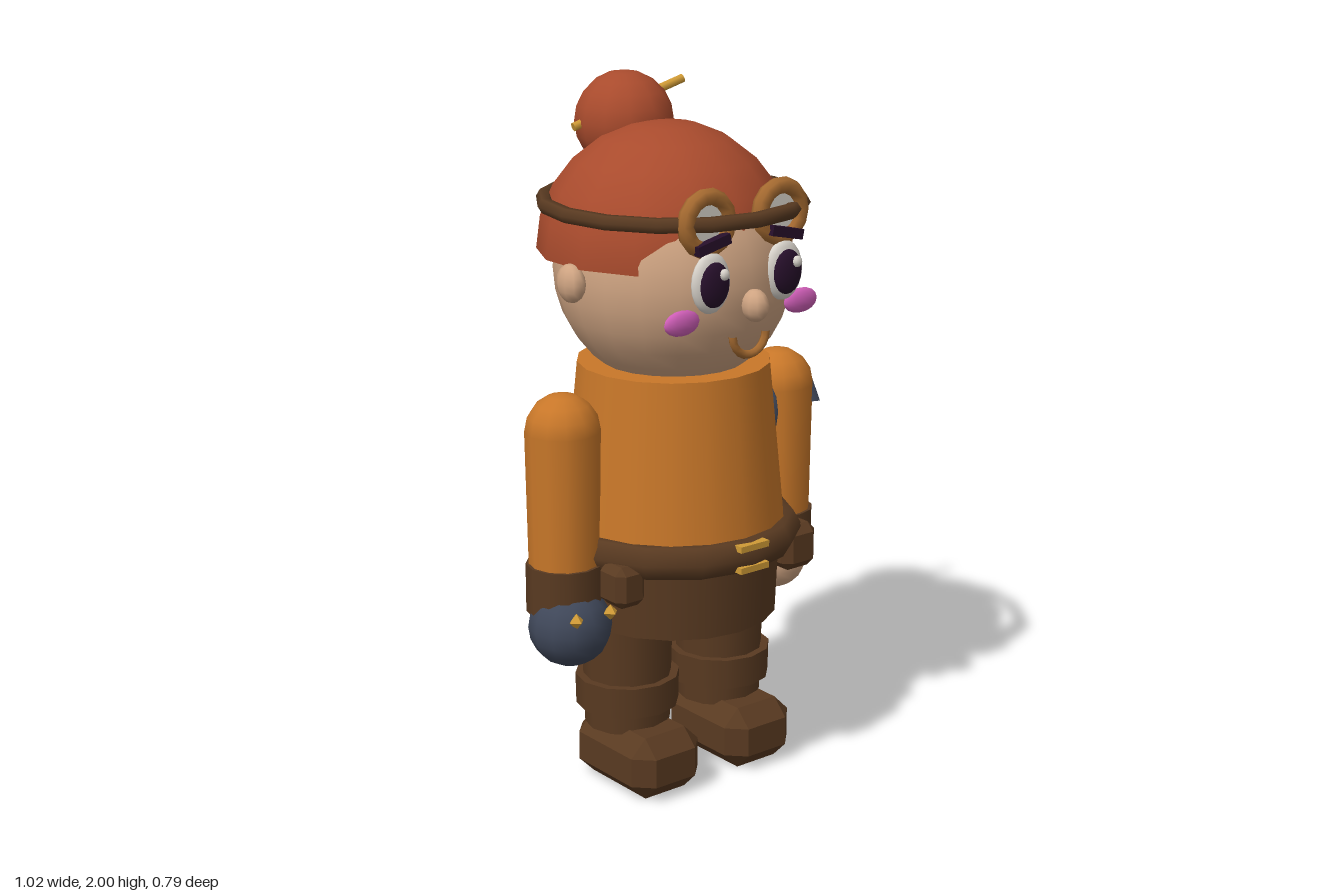
import * as THREE from 'three';
import { ConvexGeometry } from 'three/addons/geometries/ConvexGeometry.js';

const mat = (name, color, side = THREE.FrontSide) => {
  const m = new THREE.MeshStandardMaterial({ color, side });
  m.name = name;
  return m;
};

export function createModel() {
  const model = new THREE.Group();
  model.name = 'figure';

  const hair = mat('rust hair', 0xa94b2d, THREE.DoubleSide);
  const skin = mat('skin', 0xcfa482);
  const shirt = mat('orange cloth', 0xc87729);
  const leather = mat('brown leather', 0x593a21);
  const navy = mat('navy', 0x3f4759);
  const gold = mat('gold', 0xcf9a36);
  const copper = mat('copper', 0xa56a30);
  const white = mat('off white', 0xd9d4cc);
  const plum = mat('dark plum', 0x260f2a);
  const pink = mat('pink', 0xd15fb9);

  const add = (name, geometry, material, x = 0, y = 0, z = 0) => {
    const m = new THREE.Mesh(geometry, material);
    m.name = name;
    m.position.set(x, y, z);
    model.add(m);
    return m;
  };
  const ball = (name, material, pos, rad, seg = 14, rings = 10) => {
    const g = new THREE.SphereGeometry(1, seg, rings).rotateY(Math.PI / 2).scale(...rad);
    return add(name, g, material, ...pos);
  };
  // Upright tapered cylinder given by its bottom and top heights
  const tube = (name, material, x, y0, y1, r0, r1, seg = 14) =>
    add(name, new THREE.CylinderGeometry(r1, r0, y1 - y0, seg), material, x, (y0 + y1) / 2, 0);
  // Horizontal ring
  const ring = (name, material, y, z, R, r, radial, seg) =>
    add(name, new THREE.TorusGeometry(R, r, radial, seg).rotateX(Math.PI / 2).rotateY(Math.PI / 2), material, 0, y, z);
  // Box with all edges and corners cut off
  const chamferBox = (name, material, pos, [hx, hy, hz], c) => {
    const pts = [];
    for (const i of [-1, 1]) for (const j of [-1, 1]) for (const k of [-1, 1]) {
      pts.push(new THREE.Vector3(i * hx, j * (hy - c), k * (hz - c)));
      pts.push(new THREE.Vector3(i * (hx - c), j * hy, k * (hz - c)));
      pts.push(new THREE.Vector3(i * (hx - c), j * (hy - c), k * hz));
    }
    return add(name, new ConvexGeometry(pts), material, ...pos);
  };

  // Torso, hips and belt
  tube('torso', shirt, 0, 0.72, 1.22, 0.322, 0.273, 18);
  tube('hips', leather, 0, 0.485, 0.72, 0.295, 0.305, 18);
  ring('belt', leather, 0.725, 0, 0.315, 0.052, 6, 14);
  for (const y of [0.757, 0.695])
    add('buckleBar', new THREE.BoxGeometry(0.1, 0.018, 0.04), gold, 0, y, 0.34);
  chamferBox('pouch', leather, [0.268, 0.665, 0.2], [0.062, 0.066, 0.058], 0.025);
  chamferBox('pouch', leather, [-0.3, 0.66, 0.15], [0.05, 0.06, 0.055], 0.022);

  // Legs, boots and arms
  for (const s of [-1, 1]) {
    const x = s * 0.17;
    tube('leg', leather, x, 0.17, 0.5, 0.123, 0.132, 12);
    tube('bootCuff', leather, x, 0.23, 0.32, 0.148, 0.15, 12);
    chamferBox('boot', leather, [x, 0.0925, 0.05], [0.12, 0.0925, 0.173], 0.05);

    const ax = s * 0.387;
    tube('sleeve', shirt, ax, 0.62, 1.08, 0.098, 0.105, 12);
    ball('shoulder', shirt, [ax, 1.08, 0], [0.105, 0.105, 0.105], 12, 8);
    tube('sleeveCuff', leather, ax, 0.56, 0.7, 0.108, 0.108, 12);
  }
  ball('hand', skin, [0.383, 0.545, 0], [0.095, 0.095, 0.095], 12, 10);
  ball('glove', navy, [-0.395, 0.525, 0.035], [0.118, 0.115, 0.116], 12, 10);
  for (const x of [-0.443, -0.327])
    add('gloveStud', new THREE.OctahedronGeometry(0.023), gold, x, 0.575, 0.13);

  // Shoulder patches
  add('shoulderSpike', new THREE.ConeGeometry(0.037, 0.085, 5).rotateY(0.3), navy, 0.475, 1.065, 0.042);
  ball('innerPatch', navy, [0.295, 1.025, 0.05], [0.022, 0.085, 0.06], 8, 6);

  // Head and ears
  ball('head', skin, [0, 1.485, 0], [0.335, 0.335, 0.335], 20, 16);
  for (const s of [-1, 1]) ball('ear', skin, [s * 0.352, 1.485, 0], [0.034, 0.054, 0.05], 10, 8);
  ball('nose', skin, [0, 1.437, 0.348], [0.036, 0.045, 0.042], 10, 8);

  // Hair cap, bun and hairpin
  add('hairCap', new THREE.SphereGeometry(0.357, 14, 6, 0, Math.PI * 2, 0, Math.PI / 2).rotateY(Math.PI / 2),
    hair, 0, 1.527, -0.04);
  ball('bun', hair, [0, 1.86, -0.222], [0.14, 0.14, 0.142], 12, 10);
  const a = new THREE.Vector3(-0.15, 1.85, -0.257), b = new THREE.Vector3(0.184, 1.963, -0.19);
  add('hairpin', new THREE.TubeGeometry(new THREE.LineCurve3(a, b), 1, 0.013, 8), gold);
  for (const [p, d] of [[a, -1], [b, 1]]) {
    const cap = add('hairpinEnd', new THREE.CircleGeometry(0.013, 8), gold, p.x, p.y, p.z);
    cap.lookAt(p.clone().addScaledVector(b.clone().sub(a), d));
  }

  // Headband
  ring('headband', leather, 1.67, -0.005, 0.358, 0.022, 6, 16);

  // Goggles, eyes, brows and cheeks
  for (const s of [-1, 1]) {
    const x = s * 0.127;
    add('goggleRim', new THREE.TorusGeometry(0.071, 0.024, 8, 14), copper, x, 1.668, 0.298);
    add('goggleLens', new THREE.CylinderGeometry(0.06, 0.06, 0.008, 14).rotateX(Math.PI / 2), white, x, 1.668, 0.3);
    ball('eye', white, [x, 1.51, 0.315], [0.064, 0.083, 0.025], 16, 10);
    ball('pupil', plum, [x, 1.508, 0.331], [0.049, 0.062, 0.022], 14, 10);
    ball('eyeGlint', white, [x + 0.018, 1.537, 0.351], [0.015, 0.016, 0.012], 8, 6);
    const brow = add('brow', new THREE.BoxGeometry(0.11, 0.028, 0.025), plum, x, 1.615, 0.322);
    brow.rotation.z = -s * 0.22;
    ball('cheek', pink, [s * 0.208, 1.41, 0.295], [0.06, 0.035, 0.018], 12, 8);
  }

  // Smile
  const smile = new THREE.TorusGeometry(0.058, 0.012, 6, 10, Math.PI).rotateZ(Math.PI);
  add('mouth', smile, copper, 0, 1.355, 0.325);

  return model;
}
